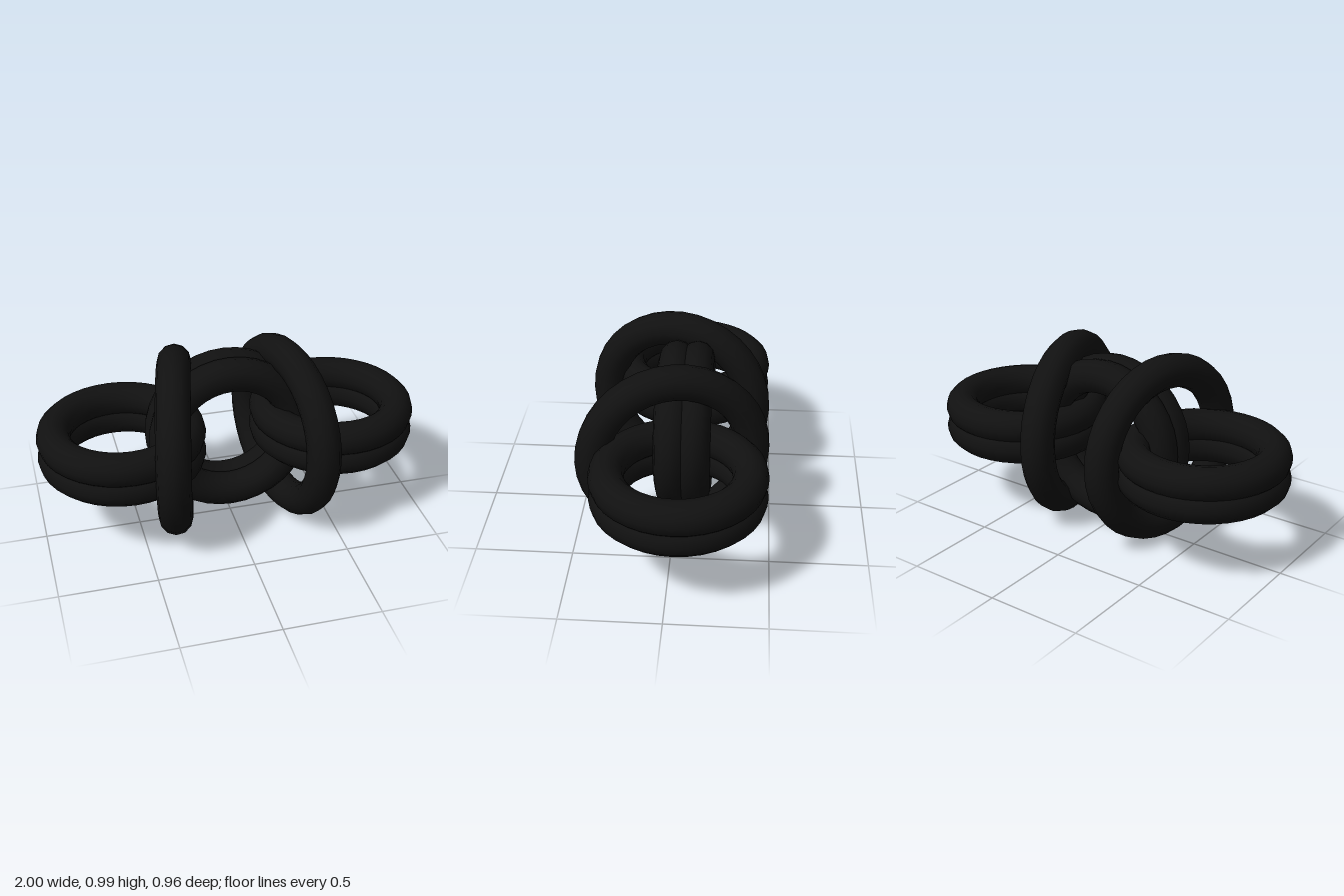
import * as THREE from 'three';

const TUBE = 0.0875;
const CENTER_Y = 0.4945;
const PAIR_Z = -0.045;
const PAIR_OFFSET = 0.055;

export function createModel() {
  const model = new THREE.Group();
  model.name = 'knotOfRings';
  const material = new THREE.MeshStandardMaterial({ color: 0x111111 });
  const smallRing = new THREE.TorusGeometry(0.3475, TUBE, 12, 36);
  const largeRing = new THREE.TorusGeometry(0.407, TUBE, 12, 36);

  // Two overlapping rings stacked along their shared axis
  function ringPair(name) {
    const pair = new THREE.Group();
    pair.name = name;
    for (const s of [-1, 1]) {
      const ring = new THREE.Mesh(smallRing, material);
      ring.name = name + (s < 0 ? 'Back' : 'Front');
      ring.position.z = s * PAIR_OFFSET;
      pair.add(ring);
    }
    model.add(pair);
    return pair;
  }

  // Upright pair in the middle
  ringPair('centreLoop').position.set(0, CENTER_Y, PAIR_Z);

  for (const side of [-1, 1]) {
    const label = side < 0 ? 'right' : 'left';

    // Flat pair at each end
    const loop = ringPair(label + 'Loop');
    loop.position.set(side * 0.565, CENTER_Y + 0.003, PAIR_Z);
    loop.rotation.x = Math.PI / 2;

    // Large upright binding ring, splayed toward the front
    const band = new THREE.Mesh(largeRing, material);
    band.name = label + 'BindingRing';
    band.position.set(side * 0.293, CENTER_Y, 0);
    band.rotation.y = THREE.MathUtils.degToRad(90 + side * 13);
    model.add(band);
  }
  return model;
}
